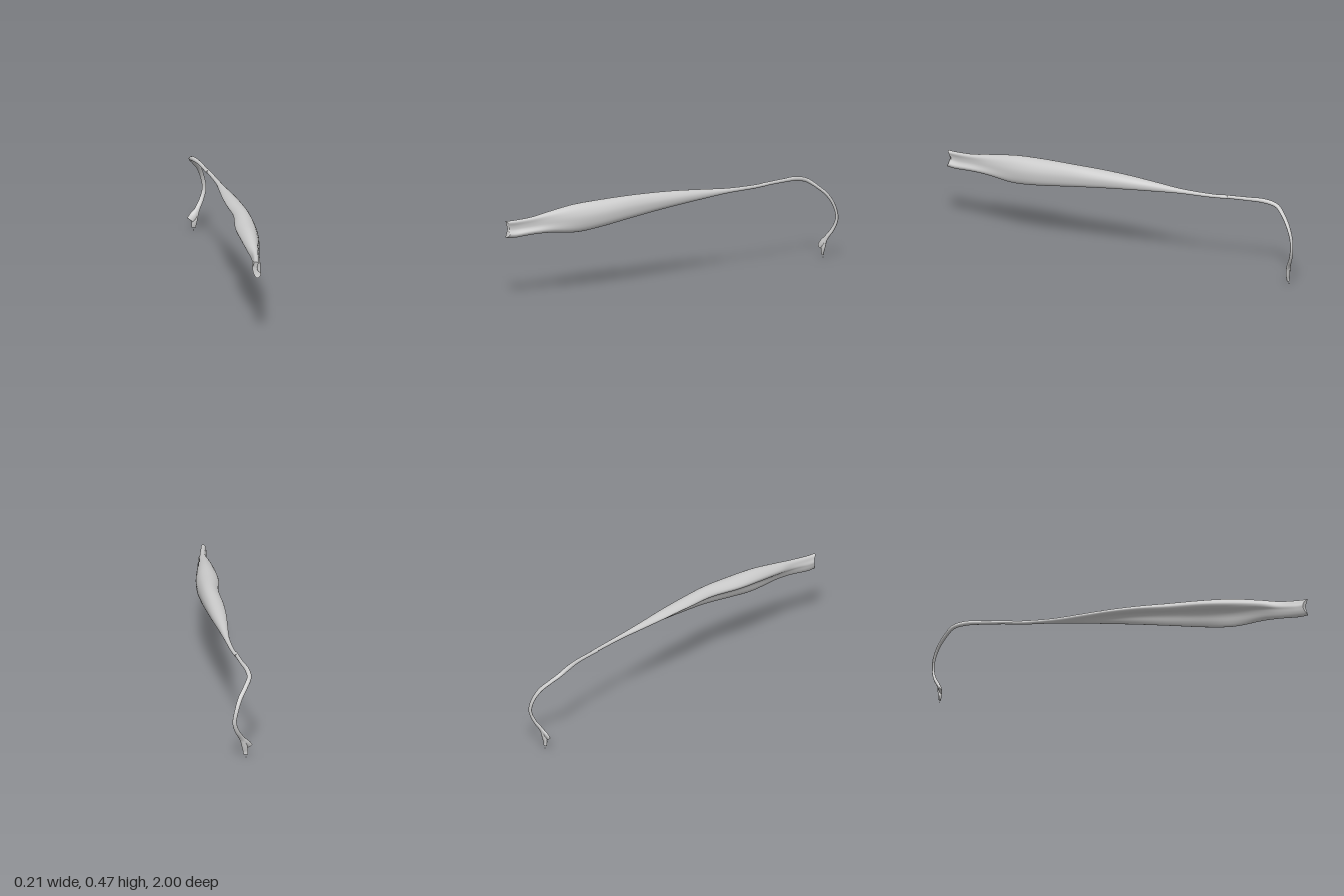
import * as THREE from 'three';

const material = new THREE.MeshStandardMaterial({ color: 0xcccccc, side: THREE.DoubleSide });

// Smoothly interpolate rows of numbers into n + 1 rows
function sampleRows(rows, n) {
  const last = rows.length - 1;
  return Array.from({ length: n + 1 }, (_, k) => {
    const f = (k / n) * last;
    const i = Math.min(Math.floor(f), last - 1);
    const t = f - i;
    return rows[i].map((b, c) => {
      const a = rows[Math.max(i - 1, 0)][c];
      const d = rows[i + 1][c];
      const e = rows[Math.min(i + 2, last)][c];
      const m0 = (d - a) / 2, m1 = (e - b) / 2;
      return b + m0 * t + (3 * (d - b) - 2 * m0 - m1) * t * t + (2 * (b - d) + m0 + m1) * t * t * t;
    });
  });
}

// Skin a list of equal rings and close both ends
function skin(name, rings) {
  const n = rings[0].length;
  const pos = [], index = [];
  rings.forEach((ring) => ring.forEach((p) => pos.push(p.x, p.y, p.z)));
  for (let i = 0; i < rings.length - 1; i++) {
    for (let j = 0; j < n; j++) {
      const a = i * n + j, b = i * n + ((j + 1) % n);
      index.push(a, b, a + n, b, b + n, a + n);
    }
  }
  [rings[0], rings[rings.length - 1]].forEach((ring, end) => {
    const base = pos.length / 3;
    const centre = new THREE.Vector3();
    ring.forEach((p) => { centre.addScaledVector(p, 1 / n); pos.push(p.x, p.y, p.z); });
    pos.push(centre.x, centre.y, centre.z);
    for (let j = 0; j < n; j++) {
      const a = base + j, b = base + ((j + 1) % n);
      if (end) index.push(base + n, a, b);
      else index.push(base + n, b, a);
    }
  });
  const geometry = new THREE.BufferGeometry();
  geometry.setAttribute('position', new THREE.Float32BufferAttribute(pos, 3));
  geometry.setIndex(index);
  geometry.computeVertexNormals();
  const mesh = new THREE.Mesh(geometry, material);
  mesh.name = name;
  return mesh;
}

// Sweep an ellipse along rows of [x, y, z, half width, half depth]
function sweep(name, rows, steps, sides = 14) {
  const path = sampleRows(rows, steps);
  const points = path.map(([x, y, z]) => new THREE.Vector3(x, y, z));
  return skin(name, points.map((p, i) => {
    const tangent = points[Math.min(i + 1, steps)].clone().sub(points[Math.max(i - 1, 0)]).normalize();
    const side = new THREE.Vector3(1, 0, 0).addScaledVector(tangent, -tangent.x).normalize();
    const up = side.clone().cross(tangent);
    return Array.from({ length: sides }, (_, j) => {
      const a = (j / sides) * Math.PI * 2;
      return p.clone().addScaledVector(side, Math.sin(a) * path[i][3]).addScaledVector(up, Math.cos(a) * path[i][4]);
    });
  }));
}

// Cross-sections in a unit box: hooked belly, grooved front end, round tendon
const bellyShape = [[-1, 0.45], [-0.6, 0.85], [0, 1], [0.6, 0.8], [0.95, 0.3], [1, -0.2],
  [0.85, -0.75], [0.5, -1], [0.2, -0.7], [0, -0.3], [-0.3, 0], [-0.75, 0.15]];
const frontShape = [[-0.8, 0.45], [-0.6, 0.85], [-0.1, 1], [0.4, 0.8], [0.2, 0.35], [0.25, -0.2],
  [1, -0.6], [0.5, -1], [-0.2, -1], [-0.7, -0.6], [-0.9, -0.2], [-1, 0.1]];
const roundShape = bellyShape.map((_, k) => {
  const a = ((165 - 30 * k) * Math.PI) / 180;
  return [Math.cos(a), Math.sin(a)];
});

// z, min x, max x, min y, max y, front weight, round weight
const bellyRows = [
  [1, 0.022, 0.066, 0.325, 0.41, 1, 0],
  [0.95, 0.026, 0.07, 0.322, 0.411, 1, 0],
  [0.85, 0.03, 0.08, 0.33, 0.42, 0.7, 0],
  [0.75, 0.015, 0.09, 0.33, 0.437, 0.3, 0],
  [0.6, 0, 0.1, 0.318, 0.46, 0, 0],
  [0.45, -0.01, 0.105, 0.333, 0.468, 0, 0],
  [0.27, 0, 0.094, 0.36, 0.474, 0, 0],
  [0.1, -0.015, 0.075, 0.38, 0.47, 0, 0],
  [-0.05, -0.022, 0.055, 0.393, 0.463, 0, 0.15],
  [-0.2, -0.022, 0.03, 0.404, 0.452, 0, 0.4],
  [-0.35, -0.022, 0.007, 0.415, 0.441, 0, 0.8],
  [-0.5, -0.037, -0.016, 0.418, 0.438, 0, 1],
  [-0.6, -0.055, -0.035, 0.422, 0.44, 0, 1],
];

function muscleBelly() {
  const rings = sampleRows(bellyRows, 72).map(([z, x0, x1, y0, y1, front, round]) => {
    const outline = bellyShape.map(([u, v], k) => {
      const mid = 1 - front - round;
      const pu = u * mid + frontShape[k][0] * front + roundShape[k][0] * round;
      const pv = v * mid + frontShape[k][1] * front + roundShape[k][1] * round;
      // the front rim is notched halfway up
      const notch = z > 0.9 ? 0.02 * (1 - pv * pv) * (z - 0.9) * 10 : 0;
      return new THREE.Vector3((x0 + x1 + pu * (x1 - x0)) / 2, (y0 + y1 + pv * (y1 - y0)) / 2, z - notch);
    });
    return new THREE.CatmullRomCurve3(outline, true).getPoints(36).slice(0, 36);
  });
  return skin('muscleBelly', rings);
}

export function createModel() {
  const model = new THREE.Group();
  model.name = 'muscleWithTendon';
  model.add(muscleBelly());

  // Long tendon, running back and hooking downward
  model.add(sweep('tendon', [
    [-0.042, 0.43, -0.56, 0.01, 0.009],
    [-0.066, 0.434, -0.7, 0.01, 0.01],
    [-0.088, 0.432, -0.79, 0.012, 0.012],
    [-0.097, 0.415, -0.86, 0.012, 0.011],
    [-0.075, 0.38, -0.91, 0.012, 0.009],
    [-0.045, 0.335, -0.955, 0.012, 0.008],
    [-0.024, 0.275, -0.985, 0.011, 0.007],
    [-0.014, 0.215, -0.992, 0.011, 0.007],
    [-0.029, 0.16, -0.978, 0.012, 0.008],
    [-0.053, 0.115, -0.955, 0.014, 0.009],
    [-0.067, 0.085, -0.944, 0.018, 0.009],
  ], 72));

  // Forked foot of the tendon
  model.add(sweep('outerFork', [
    [-0.057, 0.11, -0.952, 0.013, 0.008],
    [-0.076, 0.083, -0.941, 0.02, 0.01],
    [-0.094, 0.061, -0.933, 0.019, 0.007],
  ], 12));
  model.add(sweep('innerFork', [
    [-0.06, 0.1, -0.95, 0.013, 0.008],
    [-0.069, 0.06, -0.942, 0.015, 0.01],
    [-0.073, 0.035, -0.94, 0.013, 0.007],
    [-0.074, 0.018, -0.942, 0.012, 0.005],
  ], 14));

  // Tiny loose strand below the fork
  const strand = new THREE.Mesh(new THREE.SphereGeometry(0.004, 8, 6), material);
  strand.name = 'looseStrand';
  strand.scale.set(0.6, 1, 0.6);
  strand.position.set(-0.075, 0.004, -0.944);
  model.add(strand);

  return model;
}
